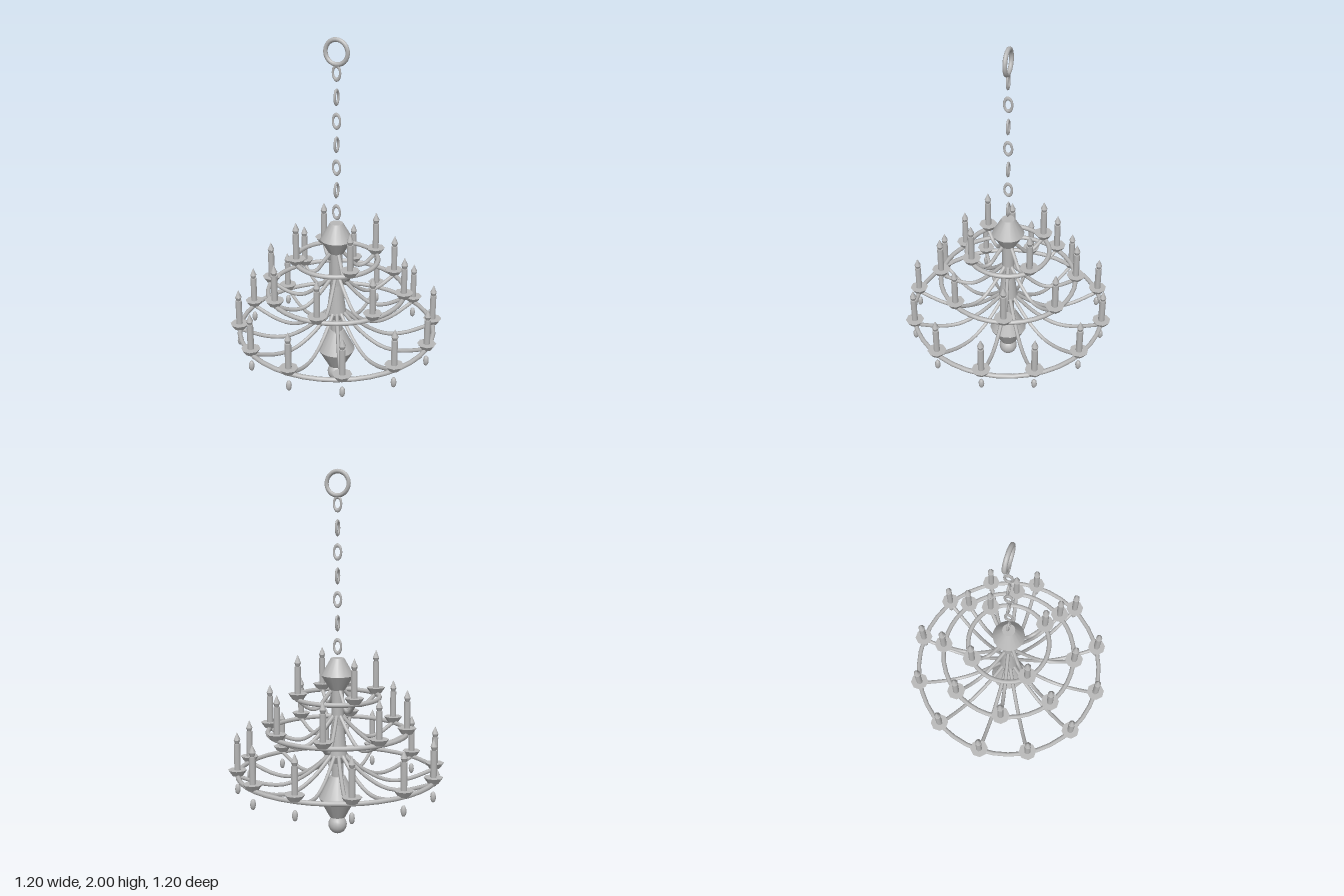
import * as THREE from 'three';

export function createModel() {
  const model = new THREE.Group();
  model.name = 'chandelier';
  const metal = new THREE.MeshStandardMaterial({ color: 0xb8b8b8 });
  metal.name = 'grey metal';

  const add = (parent, name, geometry, x = 0, y = 0, z = 0) => {
    const mesh = new THREE.Mesh(geometry, metal);
    mesh.name = name;
    mesh.position.set(x, y, z);
    parent.add(mesh);
    return mesh;
  };

  // Frustum standing on y0 and reaching y1
  const frustum = (r0, r1, y0, y1, sides = 16, open = false) =>
    new THREE.CylinderGeometry(r1, r0, y1 - y0, sides, 1, open).translate(0, (y0 + y1) / 2, 0);

  // Central stem: [bottom radius, top radius, bottom y, top y]
  const stem = [
    ['lowerVase', 0.045, 0.106, 0.1, 0.21],
    ['upperVase', 0.106, 0.042, 0.21, 0.335],
    ['column', 0.034, 0.034, 0.33, 0.84],
    ['collarBase', 0.034, 0.055, 0.41, 0.45],
    ['collar', 0.055, 0.032, 0.45, 0.64],
    ['lowerCap', 0.042, 0.09, 0.82, 0.9],
    ['upperCap', 0.09, 0.036, 0.9, 0.995],
  ];
  for (const [name, r0, r1, y0, y1] of stem) add(model, name, frustum(r0, r1, y0, y1));
  add(model, 'finial', new THREE.SphereGeometry(0.052, 16, 12), 0, 0.055, 0);

  // Shared candle parts, measured from the ring height
  const cupGeo = frustum(0.03, 0.052, 0.004, 0.036, 8).rotateY(Math.PI / 8).toNonIndexed();
  cupGeo.computeVertexNormals();
  const candleGeo = frustum(0.018, 0.018, 0.034, 0.182, 8);
  const flameBaseGeo = frustum(0.01, 0.019, 0.18, 0.202, 8);
  const flameTipGeo = frustum(0.019, 0.001, 0.202, 0.244, 8);
  const dropGeo = new THREE.SphereGeometry(0.016, 8, 6).scale(1, 1.9, 1);

  // Curved arm running along +x from the stem out to the ring
  const armGeometry = (radius, rise) => {
    const path = new THREE.CatmullRomCurve3([
      [0.025, rise], [radius * 0.3, 0], [radius * 0.52, -0.055],
      [radius * 0.72, -0.052], [radius, 0],
    ].map(([x, y]) => new THREE.Vector3(x, y, 0)));
    return new THREE.TubeGeometry(path, 16, 0.011, 6);
  };

  // Three tiers of rings, arms and candles
  const tiers = [
    { name: 'lowerTier', y: 0.353, radius: 0.55, count: 12, turn: 0, rise: 0.12, drops: true },
    { name: 'middleTier', y: 0.587, radius: 0.383, count: 8, turn: 0.2, rise: 0.09 },
    { name: 'upperTier', y: 0.78, radius: 0.23, count: 4, turn: Math.PI / 4, rise: 0.05 },
  ];
  for (const t of tiers) {
    const tier = new THREE.Group();
    tier.name = t.name;
    tier.position.y = t.y;
    model.add(tier);
    add(tier, 'ring', new THREE.TorusGeometry(t.radius, 0.013, 8, 40).rotateX(Math.PI / 2));
    const armGeo = armGeometry(t.radius, t.rise);
    for (let i = 0; i < t.count; i++) {
      const a = t.turn + (i / t.count) * Math.PI * 2;
      const x = Math.cos(a) * t.radius;
      const z = -Math.sin(a) * t.radius;
      add(tier, 'arm', armGeo).rotation.y = a;
      add(tier, 'cup', cupGeo, x, 0, z);
      add(tier, 'candle', candleGeo, x, 0, z);
      add(tier, 'flameBase', flameBaseGeo, x, 0, z);
      add(tier, 'flameTip', flameTipGeo, x, 0, z);
      if (t.drops) add(tier, 'pendant', dropGeo, x, -0.073, z);
    }
  }

  // Chain of alternating oval links under the hanging ring
  const linkGeo = new THREE.TorusGeometry(0.021, 0.0065, 6, 16).scale(1, 1.7, 1);
  for (let i = 0; i < 7; i++) {
    add(model, 'chainLink', linkGeo, 0, 1.058 + i * 0.127, 0).rotation.y = (i % 2) * Math.PI / 2;
  }
  add(model, 'hangingRing', new THREE.TorusGeometry(0.063, 0.012, 8, 24), 0, 1.925, 0);

  return model;
}
